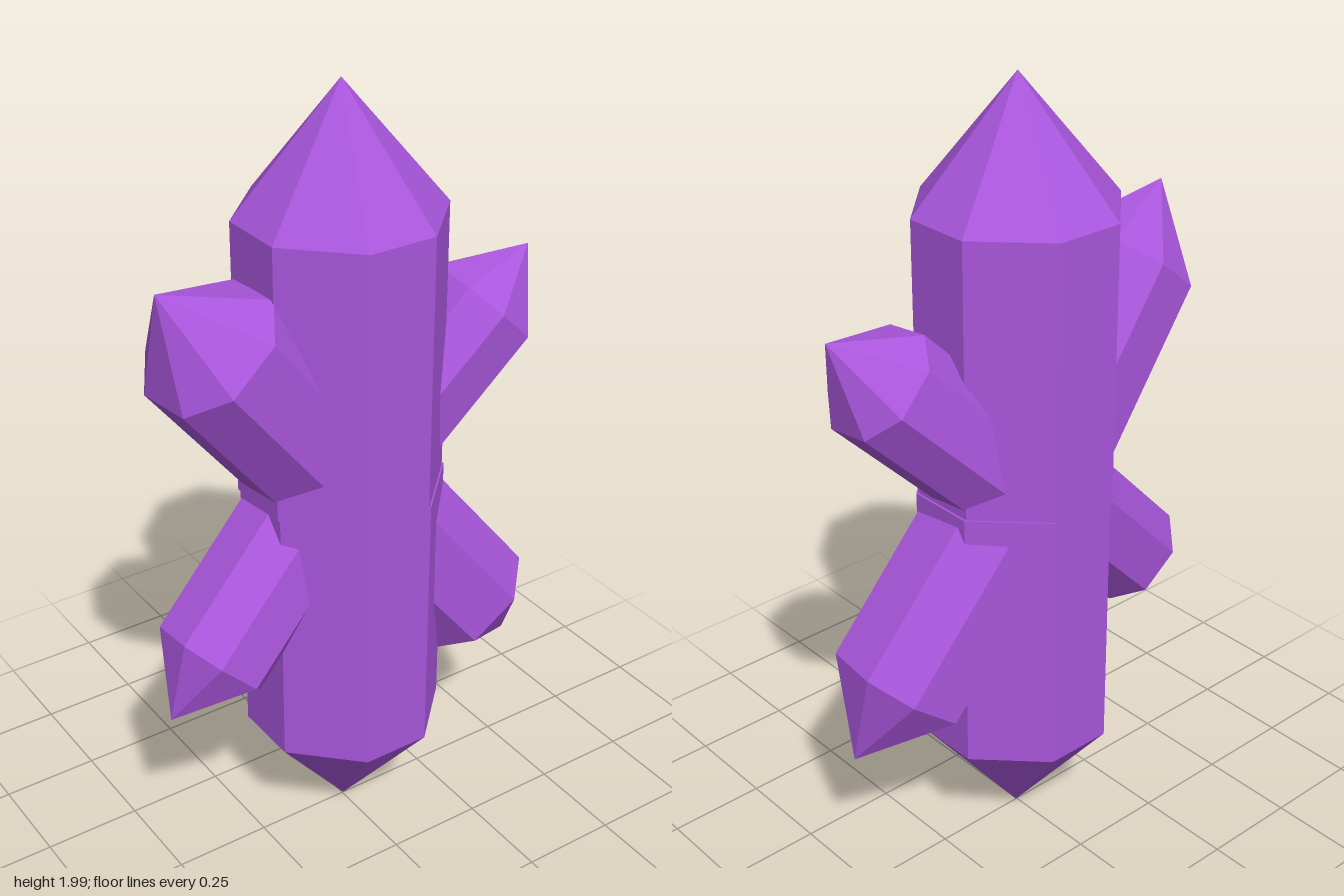
import * as THREE from 'three';

// Eight-sided prism with a pointed end, standing on its base.
// a: centre to flat face, s: half width of a main face
function crystalGeometry(a, s, shoulder, tip) {
  const ring = [[-s, a], [s, a], [a, s], [a, -s], [s, -a], [-s, -a], [-a, -s], [-a, s]];
  const pos = [];
  ring.forEach(([x, z], i) => {
    const [u, w] = ring[(i + 1) % ring.length];
    pos.push(x, 0, z, u, 0, w, u, shoulder, w); // side
    pos.push(x, 0, z, u, shoulder, w, x, shoulder, z);
    pos.push(x, shoulder, z, u, shoulder, w, 0, tip, 0); // point
    pos.push(0, 0, 0, u, 0, w, x, 0, z); // base
  });
  const g = new THREE.BufferGeometry();
  g.setAttribute('position', new THREE.Float32BufferAttribute(pos, 3));
  g.computeVertexNormals();
  return g;
}

// Side crystal running from a root inside the column to its tip
function shard(name, material, root, tip, apothem, shoulderRatio) {
  const start = new THREE.Vector3(...root);
  const axis = new THREE.Vector3(...tip).sub(start);
  const length = axis.length();
  axis.normalize();
  const side = new THREE.Vector3().crossVectors(axis, new THREE.Vector3(0, 0, 1)).normalize();
  const front = new THREE.Vector3().crossVectors(side, axis);
  const g = crystalGeometry(apothem, apothem * 0.45, length * shoulderRatio, length);
  g.rotateY(THREE.MathUtils.degToRad(5));
  g.applyMatrix4(new THREE.Matrix4().makeBasis(side, axis, front).setPosition(start));
  const mesh = new THREE.Mesh(g, material);
  mesh.name = name;
  return mesh;
}

// Half of the cluster: column half with two shards, rooted at its centre
function halfCluster(name, material) {
  const half = new THREE.Group();
  half.name = name;
  const column = new THREE.Mesh(crystalGeometry(0.238, 0.088, 0.688, 0.995), material);
  column.name = 'mainCrystal';
  column.position.x = -0.003;
  half.add(
    column,
    shard('largeShard', material, [0, -0.005, -0.015], [-0.5, 0.625, 0.033], 0.163, 0.735),
    shard('smallShard', material, [0, -0.03, -0.028], [0.52, 0.495, 0.031], 0.135, 0.76)
  );
  half.position.y = 1.005;
  return half;
}

export function createModel() {
  const model = new THREE.Group();
  model.name = 'crystalCluster';
  const purple = new THREE.MeshStandardMaterial({ color: 0xa956dc, flatShading: true });
  purple.name = 'purple crystal';

  // The lower half is the upper half turned upside down
  const upper = halfCluster('upperHalf', purple);
  const lower = halfCluster('lowerHalf', purple);
  lower.rotation.z = Math.PI;
  model.add(upper, lower);
  return model;
}
